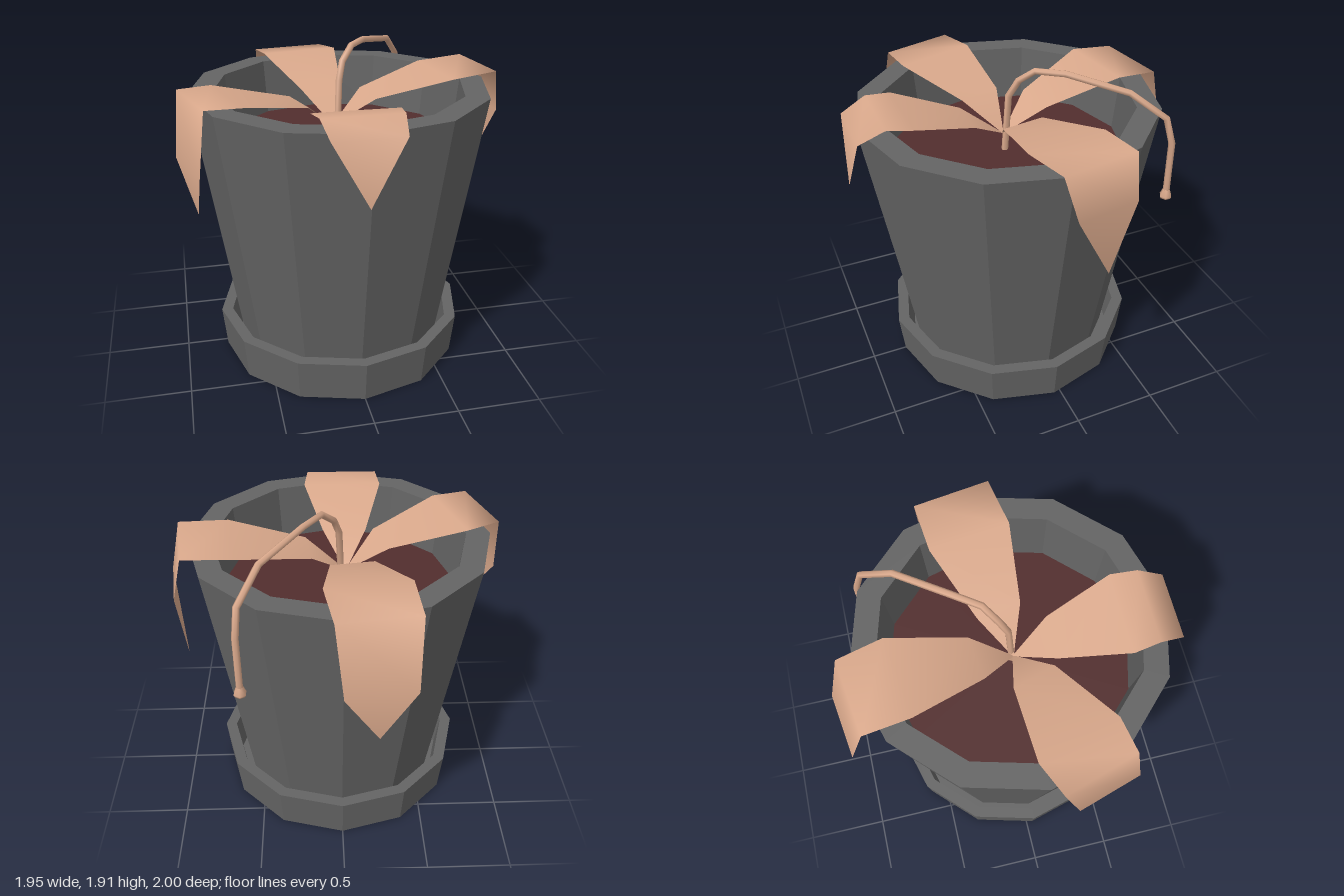
import * as THREE from 'three';

const SIDES = 12;
const CENTER_Z = 0.04;

// Faceted solid of revolution from [radius, y] pairs
function faceted(profile) {
  const pts = profile.map(([r, y]) => new THREE.Vector2(r, y));
  const geo = new THREE.LatheGeometry(pts, SIDES).toNonIndexed();
  geo.computeVertexNormals();
  return geo;
}

// Tapering ribbon; rows are [distance, y, halfWidth, sideShift] along a heading in degrees
function leafGeometry(heading, rows) {
  const a = THREE.MathUtils.degToRad(heading);
  const c = Math.cos(a), s = Math.sin(a);
  const pos = [], index = [];
  rows.forEach(([d, y, w, shift = 0], i) => {
    for (const side of [shift - w, shift + w]) {
      pos.push(-0.04 + c * d - s * side, y, 0.05 + s * d + c * side);
    }
    if (i > 0) {
      const k = 2 * i;
      index.push(k - 2, k - 1, k, k - 1, k + 1, k);
    }
  });
  const geo = new THREE.BufferGeometry();
  geo.setAttribute('position', new THREE.Float32BufferAttribute(pos, 3));
  geo.setIndex(index);
  geo.computeVertexNormals();
  return geo;
}

export function createModel() {
  const model = new THREE.Group();
  model.name = 'pottedPlant';

  const clay = new THREE.MeshStandardMaterial({ color: 0x646464 });
  clay.name = 'greyPot';
  const earth = new THREE.MeshStandardMaterial({ color: 0x522e2e });
  earth.name = 'brownSoil';
  const dry = new THREE.MeshStandardMaterial({ color: 0xd9a88b, side: THREE.DoubleSide });
  dry.name = 'witheredTan';

  const add = (name, geo, mat, z = 0) => {
    const mesh = new THREE.Mesh(geo, mat);
    mesh.name = name;
    mesh.position.z = z;
    model.add(mesh);
    return mesh;
  };

  // Saucer, pot and soil
  add('saucer', faceted([
    [0, 0], [0.745, 0], [0.77, 0.255], [0.7, 0.255], [0.67, 0.05], [0, 0.05],
  ]), clay, CENTER_Z);
  add('pot', faceted([
    [0, 0.06], [0.628, 0.06], [0.88, 1.695], [0.74, 1.695], [0.705, 1.34],
  ]), clay, CENTER_Z);
  const soil = add('soil', new THREE.CircleGeometry(0.708, SIDES), earth, CENTER_Z);
  soil.rotation.x = -Math.PI / 2;
  soil.position.y = 1.365;

  // Four leaves drooping over the rim
  const base = [0, 1.46, 0.004];
  const leaves = {
    frontLeaf: [90, [base, [0.22, 1.61, 0.13], [0.6, 1.735, 0.24],
      [0.75, 1.755, 0.22], [0.9, 1.685, 0.195], [0.94, 1.33, 0]]],
    leftLeaf: [-8.5, [base, [0.22, 1.63, 0.13], [0.66, 1.73, 0.24],
      [0.95, 1.75, 0.226], [1.01, 1.49, 0.187, -0.02], [0.97, 1.03, 0, -0.085]]],
    backLeaf: [-98, [base, [0.22, 1.63, 0.13], [0.655, 1.755, 0.238],
      [0.93, 1.72, 0.225], [1.04, 1.33, 0.195], [1.025, 1.03, 0]]],
    rightLeaf: [163, [base, [0.22, 1.63, 0.13], [0.66, 1.73, 0.245],
      [0.87, 1.74, 0.22], [0.93, 1.38, 0.195, -0.065], [0.89, 1.1, 0, -0.07]]],
  };
  for (const [name, [heading, rows]] of Object.entries(leaves)) {
    add(name, leafGeometry(heading, rows), dry);
  }

  // Bent stalk, with one tube segment per path point
  const path = [
    [-0.015, 1.36, 0.05], [0, 1.72, 0.03], [0.03, 1.82, -0.02], [0.1, 1.895, -0.09],
    [0.2, 1.895, -0.23], [0.43, 1.83, -0.51], [0.54, 1.69, -0.69],
    [0.555, 1.53, -0.735], [0.555, 1.2, -0.74],
  ].map((p) => new THREE.Vector3(...p));
  const curve = new THREE.CatmullRomCurve3(path);
  curve.getPointAt = (t, target) => curve.getPoint(t, target);
  curve.getTangentAt = (t, target) => curve.getTangent(t, target);
  add('stalk', new THREE.TubeGeometry(curve, path.length - 1, 0.02, 6), dry);

  // Small flared bud at the hanging end
  const bud = add('bud', new THREE.LatheGeometry([
    [0, 1.155], [0.032, 1.16], [0.038, 1.175], [0.02, 1.22],
  ].map(([r, y]) => new THREE.Vector2(r, y)), 6), dry);
  bud.position.set(0.555, 0, -0.74);

  return model;
}
